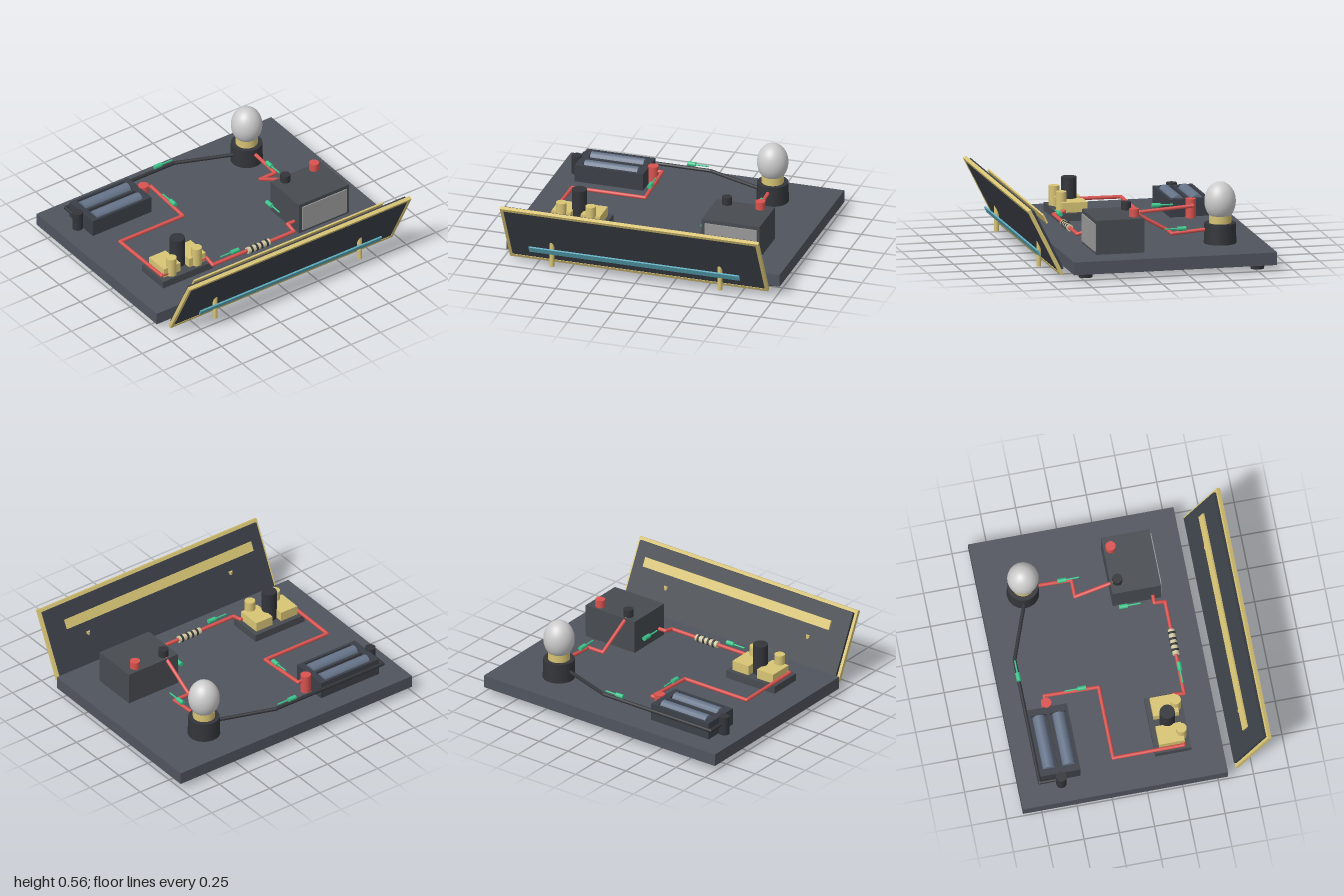
import * as THREE from 'three';

const COLORS = {
  board: 0x50545e, dark: 0x33353a, body: 0x474b50, panel: 0x3b3f47, gold: 0xd8c474, red: 0xd9534f,
  green: 0x3cc48a, teal: 0x5aa9bb, cell: 0x66748a, glass: 0xe2e2e2, plate: 0x999999, beige: 0xd2c8a0,
};
const mats = {};
for (const k in COLORS) mats[k] = new THREE.MeshStandardMaterial({ color: COLORS[k] });

export function createModel() {
  const root = new THREE.Group();

  const add = (name, geo, mat, x, y, z, parent = root) => {
    const m = new THREE.Mesh(geo, mats[mat]);
    m.name = name;
    m.position.set(x, y, z);
    parent.add(m);
    return m;
  };
  // box given by its extents
  const box = (name, mat, x0, x1, y0, y1, z0, z1, parent = root) =>
    add(name, new THREE.BoxGeometry(x1 - x0, y1 - y0, z1 - z0), mat,
      (x0 + x1) / 2, (y0 + y1) / 2, (z0 + z1) / 2, parent);
  // upright cylinder between two heights
  const post = (name, mat, x, z, r, y0, y1, rTop = r) =>
    add(name, new THREE.CylinderGeometry(rTop, r, y1 - y0, 28), mat, x, (y0 + y1) / 2, z);
  // cylinder between two points
  const rod = (name, mat, a, b, r, parent = root) => {
    const p = new THREE.Vector3(...a), d = new THREE.Vector3(...b).sub(p);
    const m = add(name, new THREE.CylinderGeometry(r, r, d.length(), 14), mat, 0, 0, 0, parent);
    m.position.copy(p).addScaledVector(d, 0.5);
    m.quaternion.setFromUnitVectors(new THREE.Vector3(0, 1, 0), d.normalize());
    return m;
  };
  // wire of straight runs with round elbows
  const wire = (name, mat, pts, r = 0.013) => {
    const g = new THREE.Group();
    g.name = name;
    root.add(g);
    pts.forEach((p, i) => {
      if (i) rod('wireRun', mat, pts[i - 1], p, r, g);
      add('wireElbow', new THREE.SphereGeometry(r, 14, 10), mat, ...p, g);
    });
  };

  // Base board and feet
  box('board', 'board', -1, 1, 0.04, 0.13, -0.885, 0.57);
  for (const x of [-0.885, 0.885])
    for (const z of [-0.77, 0.46]) post('foot', 'dark', x, z, 0.047, 0, 0.04, 0.053);

  // Leaning sign panel with frame
  const sign = new THREE.Group();
  sign.name = 'signPanel';
  sign.position.set(0, 0.272, 0.762);
  sign.rotation.x = 0.466;
  root.add(sign);
  box('signFace', 'panel', -0.923, 0.923, -0.236, 0.236, -0.033, 0.01, sign);
  for (const s of [-1, 1]) {
    add('frameRail', new THREE.BoxGeometry(1.89, 0.024, 0.026), 'gold', 0, s * 0.247, 0, sign);
    add('frameSide', new THREE.BoxGeometry(0.022, 0.47, 0.026), 'gold', s * 0.934, 0, 0, sign);
    post('signPost', 'gold', s * 0.615, 0.73, 0.017, 0.035, 0.275);
  }
  add('frontStripe', new THREE.BoxGeometry(1.54, 0.045, 0.012), 'teal', 0, -0.098, 0.054, sign);
  add('backStripe', new THREE.BoxGeometry(1.61, 0.068, 0.012), 'gold', 0, 0.106, -0.09, sign);

  // Battery tray with two cells and terminals
  box('trayFloor', 'panel', -0.83, -0.33, 0.13, 0.225, -0.727, -0.443);
  for (const z of [-0.727, -0.595, -0.463]) box('trayWall', 'panel', -0.83, -0.33, 0.225, 0.255, z, z + 0.02);
  for (const x of [-0.83, -0.38]) box('trayEnd', 'panel', x, x + 0.05, 0.225, 0.255, -0.707, -0.463);
  for (const z of [-0.655, -0.515])
    rod('batteryCell', 'cell', [-0.775, 0.228, z], [-0.385, 0.228, z], 0.044);
  post('negativeTerminal', 'dark', -0.86, -0.585, 0.037, 0.13, 0.265);
  post('positiveTerminal', 'red', -0.3, -0.585, 0.037, 0.13, 0.265);

  // Lamp: socket, collar and bulb
  post('lampSocket', 'dark', 0.575, -0.58, 0.114, 0.13, 0.272, 0.11);
  post('lampCollar', 'gold', 0.575, -0.58, 0.078, 0.272, 0.327);
  add('bulb', new THREE.SphereGeometry(0.11, 36, 24), 'glass', 0.575, 0.425, -0.58).scale.y = 1.25;

  // Meter
  box('meterBody', 'body', 0.36, 0.785, 0.13, 0.372, 0.015, 0.358);
  box('meterFace', 'plate', 0.385, 0.765, 0.15, 0.345, 0.358, 0.366);
  post('meterTerminalBlack', 'dark', 0.45, 0.065, 0.035, 0.372, 0.428);
  post('meterTerminalRed', 'red', 0.695, 0.065, 0.035, 0.372, 0.428);

  // Switch
  box('switchBase', 'body', -0.79, -0.37, 0.13, 0.185, 0.095, 0.35);
  for (const s of [-1, 1]) {
    const x = -0.578 + s * 0.107;
    box('switchContact', 'gold', x - 0.07, x + 0.07, 0.185, 0.255, 0.13, 0.31);
    post('switchPost', 'gold', x, 0.3, 0.037, 0.185, 0.325);
  }
  post('switchKnob', 'dark', -0.578, 0.22, 0.053, 0.185, 0.405);

  // Wiring
  wire('blackWire', 'dark', [[-0.855, 0.21, -0.585], [-0.855, 0.21, -0.737], [0.07, 0.21, -0.737], [0.5, 0.2, -0.58]]);
  wire('batteryToSwitchWire', 'red', [[-0.3, 0.225, -0.585], [-0.235, 0.225, -0.585], [-0.235, 0.2, -0.2],
    [-0.77, 0.2, -0.2], [-0.77, 0.205, 0.3], [-0.7, 0.205, 0.3]]);
  wire('meterToLampWire', 'red', [[0.45, 0.38, 0.065], [0.45, 0.21, -0.235], [0.575, 0.21, -0.235], [0.575, 0.23, -0.5]]);
  wire('switchToResistorWire', 'red', [[-0.45, 0.2, 0.3], [-0.387, 0.2, 0.3], [-0.387, 0.182, 0.377], [-0.1, 0.182, 0.377]]);
  wire('resistorToMeterWire', 'red', [[0.09, 0.182, 0.377], [0.305, 0.182, 0.377], [0.305, 0.2, 0.3], [0.38, 0.2, 0.3]]);

  // Resistor with bands
  rod('resistor', 'beige', [-0.095, 0.182, 0.377], [0.092, 0.182, 0.377], 0.024);
  for (const x of [-0.062, -0.02, 0.02, 0.066])
    rod('resistorBand', 'dark', [x - 0.008, 0.182, 0.377], [x + 0.008, 0.182, 0.377], 0.026);

  // Flow markers: head position, tail direction in x and z
  const markers = [
    [-0.07, -0.738, 1, 0], [-0.235, -0.32, 0, -1], [0.575, -0.305, 0, 1],
    [0.305, 0.08, 0, 1], [-0.2, 0.38, -1, 0],
  ];
  for (const [x, z, dx, dz] of markers) {
    const y = z > 0.3 ? 0.225 : 0.242;
    rod('markerHead', 'green', [x - dx * 0.03, y, z - dz * 0.03], [x + dx * 0.03, y, z + dz * 0.03], 0.016);
    rod('markerTail', 'green', [x, y, z], [x + dx * 0.122, y, z + dz * 0.122], 0.006);
  }

  return root;
}
